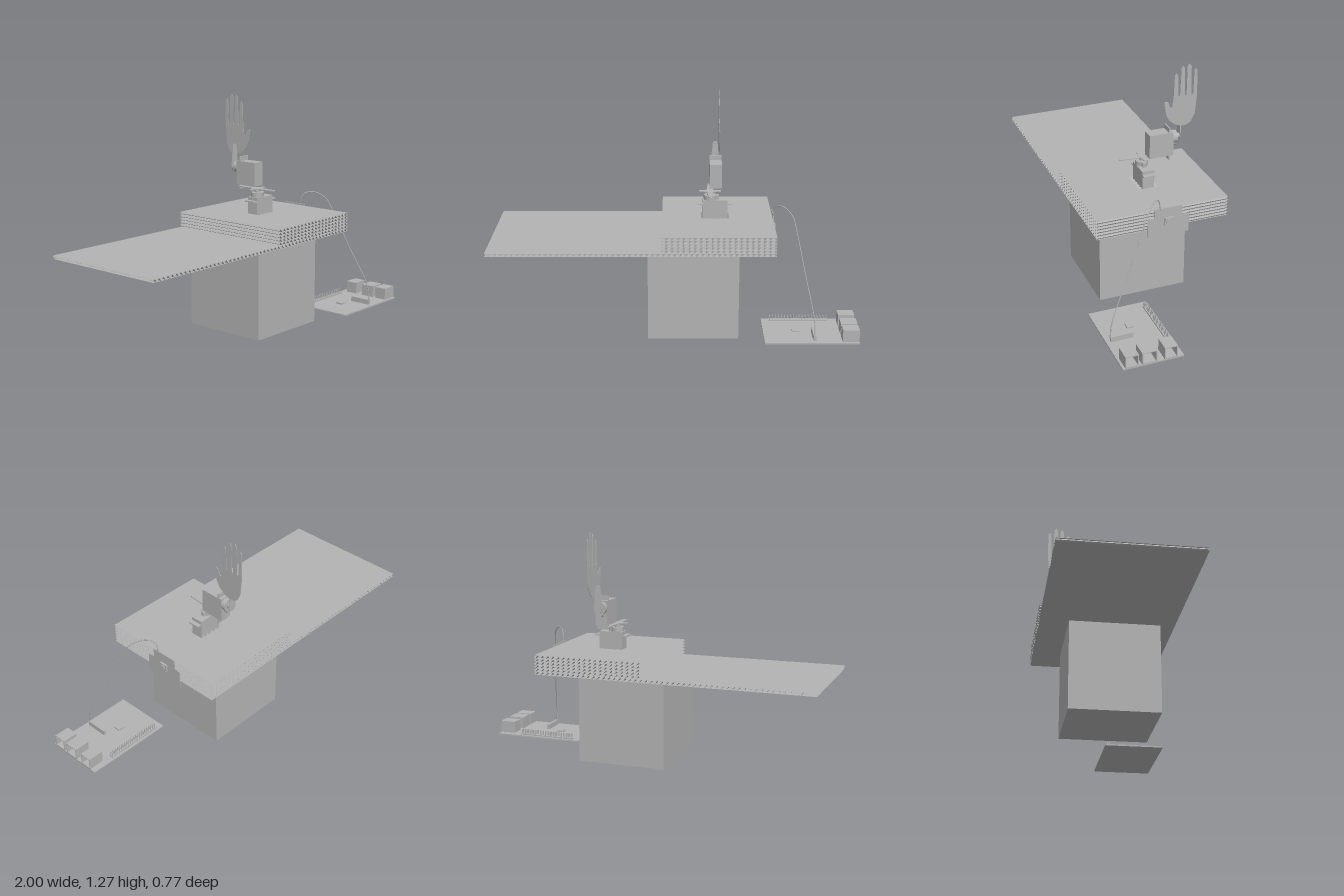
import * as THREE from 'three';

export function createModel() {
  const root = new THREE.Group();
  const grey = new THREE.MeshStandardMaterial({ color: 0xb3b3b3, side: THREE.DoubleSide });

  const add = (name, geo, parent = root) => {
    const m = new THREE.Mesh(geo, grey);
    m.name = name;
    parent.add(m);
    return m;
  };
  // Box given by its two extreme corners
  const box = (name, x0, x1, y0, y1, z0, z1, parent) => add(name,
    new THREE.BoxGeometry(x1 - x0, y1 - y0, z1 - z0)
      .translate((x0 + x1) / 2, (y0 + y1) / 2, (z0 + z1) / 2), parent);
  const group = (name, parent = root) => {
    const g = new THREE.Group();
    g.name = name;
    parent.add(g);
    return g;
  };
  const polygon = pts => new THREE.Shape(pts.map(p => new THREE.Vector2(...p)));
  const rectangle = (x0, x1, y0, y1) => polygon([[x0, y0], [x1, y0], [x1, y1], [x0, y1]]);
  const extrude = (shape, depth) =>
    new THREE.ExtrudeGeometry(shape, { depth, bevelEnabled: false, curveSegments: 16 });

  // Pedestal
  box('pedestal', -0.14, 0.353, 0, 0.498, -0.229, 0.266);

  // Corrugated board: flat liners with fluted sheets between, flutes along z
  const board = group('corrugatedBoard');
  const zBack = -0.385, zFront = 0.348, xRight = 0.545, y0 = 0.506, layers = 6, pitch = 0.0178;
  const flat = (name, x0, y, hole) => {
    const s = rectangle(x0, xRight, -zFront, -zBack);
    if (hole) s.holes.push(rectangle(0.15, 0.305, -0.02, 0.085));
    const g = new THREE.ShapeGeometry(s).rotateX(-Math.PI / 2);
    add(name, g.translate(0, y, 0), board);
  };
  const flute = (x0, y) => {
    const w = xRight - x0, n = Math.round(w / 0.03) * 4;
    const g = new THREE.PlaneGeometry(w, zFront - zBack, n, 1).rotateX(-Math.PI / 2);
    const p = g.attributes.position;
    for (let i = 0; i < p.count; i++) {
      p.setY(i, Math.sin((i % (n + 1)) * Math.PI / 2) * pitch * 0.48);
    }
    g.translate((x0 + xRight) / 2, y, (zFront + zBack) / 2);
    const f = g.toNonIndexed();
    f.computeVertexNormals();
    add('flutedSheet', f, board);
  };
  flat('bottomLiner', -1, y0);
  for (let i = 0; i < layers; i++) {
    const x0 = i === 0 ? -1 : -0.065;
    flute(x0, y0 + (i + 0.5) * pitch);
    flat('liner', x0, y0 + (i + 1) * pitch, i === layers - 1);
  }

  // Servo: shaft along +y above the origin, long side toward +x
  const servo = (name) => {
    const g = group(name);
    box('servoBody', -0.04, 0.095, -0.136, 0, -0.034, 0.034, g);
    box('servoFlange', -0.066, 0.12, -0.026, -0.018, -0.034, 0.034, g);
    add('gearHousing', new THREE.CylinderGeometry(0.035, 0.035, 0.025, 24).translate(0, 0.0125, 0), g);
    add('gearBump', new THREE.CylinderGeometry(0.014, 0.014, 0.025, 16).translate(0.036, 0.0125, 0), g);
    add('shaft', new THREE.CylinderGeometry(0.016, 0.016, 0.022, 20).translate(0, 0.035, 0), g);
    return g;
  };
  // Tapered horn arm with a rounded tip, turned about the shaft
  const hornArm = (parent, length, angle, wide = 0.02, tip = 0.01) => {
    const s = new THREE.Shape();
    s.moveTo(0, -wide);
    s.lineTo(length - tip, -tip);
    s.absarc(length - tip, 0, tip, -Math.PI / 2, Math.PI / 2, false);
    s.lineTo(0, wide);
    add('hornArm', extrude(s, 0.005).rotateX(-Math.PI / 2).rotateY(angle).translate(0, 0.043, 0), parent);
  };
  const hub = parent => add('hornHub',
    new THREE.CylinderGeometry(0.022, 0.022, 0.006, 24).translate(0, 0.0455, 0), parent);

  const lower = servo('lowerServo');
  lower.position.set(0.2, 0.708, -0.034);
  [0.062, 0.142, 0.062, 0.13].forEach((len, i) => hornArm(lower, len, i * Math.PI / 2));
  hub(lower);

  const upper = servo('upperServo');
  upper.applyMatrix4(new THREE.Matrix4().makeBasis(
    new THREE.Vector3(0, -1, 0), new THREE.Vector3(0, 0, -1), new THREE.Vector3(1, 0, 0)));
  upper.position.set(0.232, 0.857, -0.188);
  hornArm(upper, 0.13, Math.PI, 0.025, 0.014);
  hub(upper);

  // Waving hand, a thin cut-out; points are z, y
  const hand = [
    [-0.239, 0.922], [-0.2, 0.936], [-0.166, 0.963], [-0.148, 0.997], [-0.135, 1.064],
    [-0.142, 1.074], [-0.158, 1.071], [-0.17, 1.037], [-0.18, 1.038], [-0.188, 1.104],
    [-0.192, 1.212], [-0.202, 1.229], [-0.211, 1.215], [-0.214, 1.1], [-0.218, 1.092],
    [-0.224, 1.1], [-0.229, 1.249], [-0.24, 1.263], [-0.249, 1.249], [-0.252, 1.1],
    [-0.257, 1.093], [-0.261, 1.1], [-0.263, 1.256], [-0.275, 1.272], [-0.286, 1.256],
    [-0.289, 1.1], [-0.294, 1.093], [-0.299, 1.1], [-0.303, 1.229], [-0.31, 1.241],
    [-0.32, 1.229], [-0.321, 1.088], [-0.316, 1.03], [-0.312, 0.985], [-0.29, 0.94], [-0.262, 0.925],
  ];
  add('hand', extrude(polygon(hand.map(([z, y]) => [-z, y])), 0.003)
    .rotateY(Math.PI / 2).translate(0.253, 0, 0));

  // Button plate on the board's edge
  const plate = polygon([[-0.074, 0.462], [0.158, 0.462], [0.156, 0.565], [0.12, 0.572],
    [0.12, 0.622], [-0.034, 0.622], [-0.034, 0.572], [-0.074, 0.565]]);
  add('buttonPlate', extrude(plate, 0.004).rotateY(Math.PI / 2).translate(0.547, 0, 0));
  box('buttonBase', 0.551, 0.562, 0.521, 0.566, -0.067, -0.02);
  add('button', new THREE.CylinderGeometry(0.017, 0.017, 0.006, 24)
    .rotateZ(Math.PI / 2).translate(0.564, 0.5435, -0.0435));

  // Wire from the plate down to the circuit board
  const wire = new THREE.CatmullRomCurve3([
    [0.55, 0.61, 0.002], [0.55, 0.655, 0.008], [0.562, 0.683, 0.023], [0.588, 0.693, 0.05],
    [0.615, 0.685, 0.077], [0.648, 0.65, 0.118], [0.66, 0.61, 0.138], [0.71, 0.37, 0.244],
    [0.757, 0.137, 0.349], [0.76, 0.04, 0.362],
  ].map(p => new THREE.Vector3(...p)));
  add('wire', new THREE.TubeGeometry(wire, 80, 0.003, 6));

  // Circuit board with ports, chip, slot and header pins
  const circuit = group('circuitBoard');
  box('boardPlate', 0.49, 1, 0.02, 0.028, 0.053, 0.384, circuit);
  for (const [z0, z1] of [[0.088, 0.158], [0.2, 0.28], [0.298, 0.37]]) {
    const s = rectangle(-z1, -z0, 0.028, 0.095);
    s.holes.push(rectangle(-z1 + 0.005, -z0 - 0.005, 0.033, 0.09));
    add('portShell', extrude(s, 0.088).rotateY(Math.PI / 2).translate(0.912, 0, 0), circuit);
    box('portBack', 0.91, 0.93, 0.029, 0.094, z0 + 0.001, z1 - 0.001, circuit);
  }
  box('chip', 0.65, 0.69, 0.028, 0.036, 0.2, 0.24, circuit);
  box('slot', 0.754, 0.77, 0.028, 0.057, 0.235, 0.36, circuit);
  box('pinStrip', 0.53, 0.86, 0.028, 0.036, 0.066, 0.09, circuit);
  for (let i = 0; i < 20; i++) {
    for (const z of [0.072, 0.084]) {
      const x = 0.538 + i * 0.0166;
      box('headerPin', x - 0.002, x + 0.002, 0.034, 0.06, z - 0.002, z + 0.002, circuit);
    }
  }
  return root;
}
